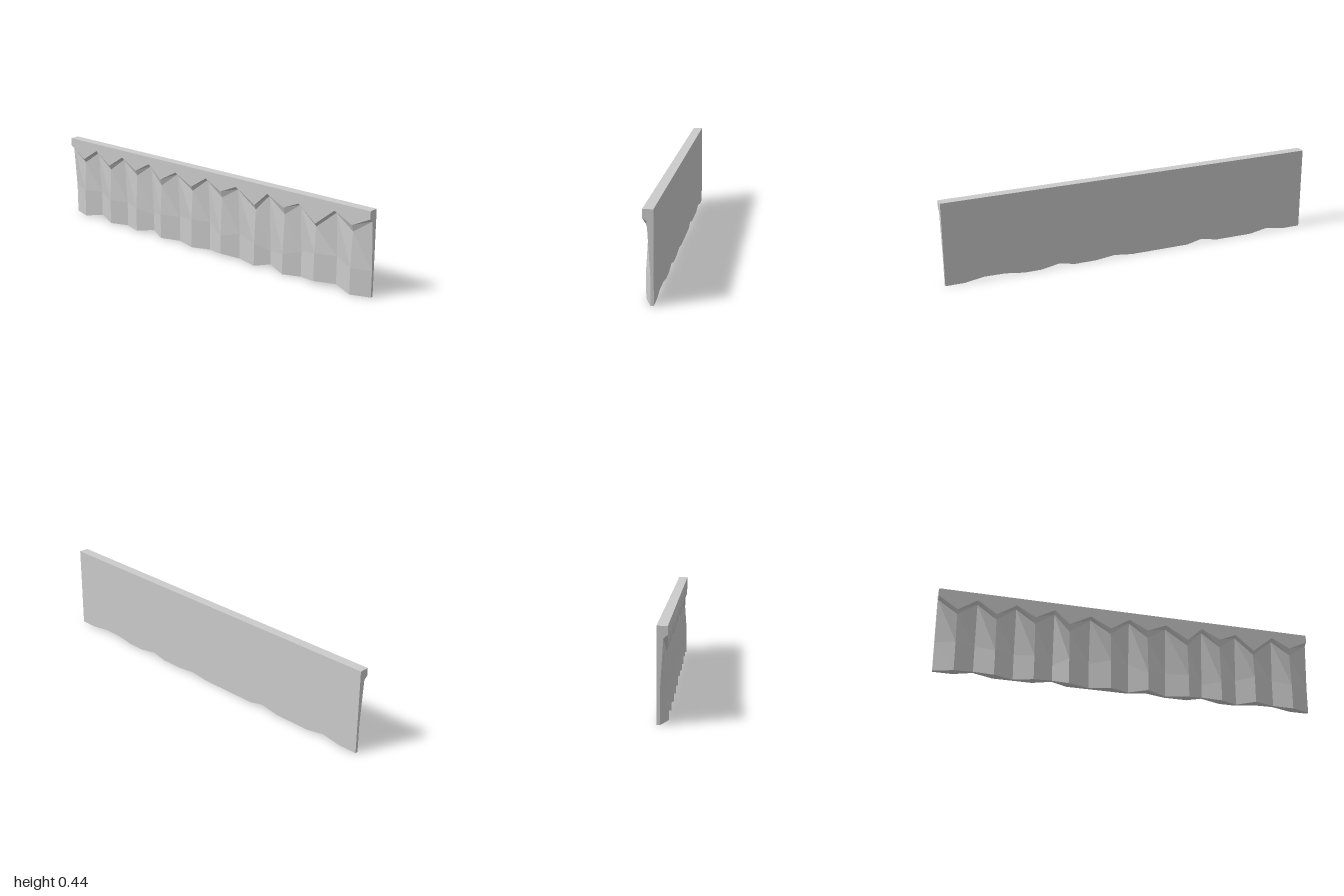
import * as THREE from 'three';

const DEPTH = 0.025; // half thickness of the panel

// One row per fold line: x, header edge y, top of fold y, crease y, hem y.
// Even rows are valleys, odd rows are ridges.
const FOLDS = [
  [-1.0, 0.40, 0.385, 0.155, 0],
  [-0.9, 0.335, 0.315, 0.155, 0],
  [-0.8, 0.40, 0.385, 0.155, 0.018],
  [-0.7, 0.335, 0.31, 0.135, 0],
  [-0.6, 0.40, 0.385, 0.135, 0],
  [-0.5, 0.345, 0.315, 0.13, 0],
  [-0.4, 0.40, 0.385, 0.105, 0.018],
  [-0.32, 0.33, 0.295, 0.135, 0],
  [-0.21, 0.39, 0.378, 0.135, 0],
  [-0.1, 0.335, 0.31, 0.155, 0],
  [0.0, 0.40, 0.388, 0.155, 0],
  [0.1, 0.35, 0.315, 0.11, 0.012],
  [0.2, 0.395, 0.378, 0.135, 0],
  [0.32, 0.325, 0.298, 0.12, 0],
  [0.4, 0.40, 0.385, 0.09, 0.018],
  [0.5, 0.35, 0.312, 0.105, 0],
  [0.59, 0.39, 0.38, 0.135, 0],
  [0.69, 0.31, 0.292, 0.16, 0.014],
  [0.8, 0.40, 0.385, 0.16, 0.016],
  [0.9, 0.35, 0.315, 0.135, 0],
  [1.0, 0.40, 0.385, 0.135, 0],
];

// Closed outline of the panel at one fold line
function section([x, edge, top, crease, hem], i) {
  const ridge = i % 2 === 1;
  const topZ = ridge ? 0.012 : 0.005;
  const foldZ = ridge ? 0.024 : -0.01;
  return [
    [-DEPTH, 0.44], [DEPTH, 0.44], // header top
    [DEPTH, edge], [topZ, top], // header lower lip
    [foldZ, crease], [foldZ, hem], // hanging fold
    [-DEPTH, hem], // back hem
  ].map(([z, y]) => new THREE.Vector3(x, y, z));
}

export function createModel() {
  const group = new THREE.Group();
  const sections = FOLDS.map(section);
  const points = [];

  // Skin between neighbouring sections
  for (let i = 0; i < sections.length - 1; i++) {
    const s = sections[i], t = sections[i + 1];
    for (let j = 0; j < s.length; j++) {
      const k = (j + 1) % s.length;
      points.push(s[j], s[k], t[k], s[j], t[k], t[j]);
    }
  }

  // End caps
  for (const [s, flip] of [[sections[0], true], [sections.at(-1), false]]) {
    const outline = s.map((p) => new THREE.Vector2(-p.z, p.y));
    for (const [a, b, c] of THREE.ShapeUtils.triangulateShape(outline, [])) {
      points.push(s[a], s[flip ? c : b], s[flip ? b : c]);
    }
  }

  const geometry = new THREE.BufferGeometry().setFromPoints(points);
  geometry.computeVertexNormals();
  const panel = new THREE.Mesh(
    geometry,
    new THREE.MeshStandardMaterial({ color: 0xcccccc, flatShading: true })
  );
  panel.name = 'pleatedPanel';
  group.add(panel);
  return group;
}
